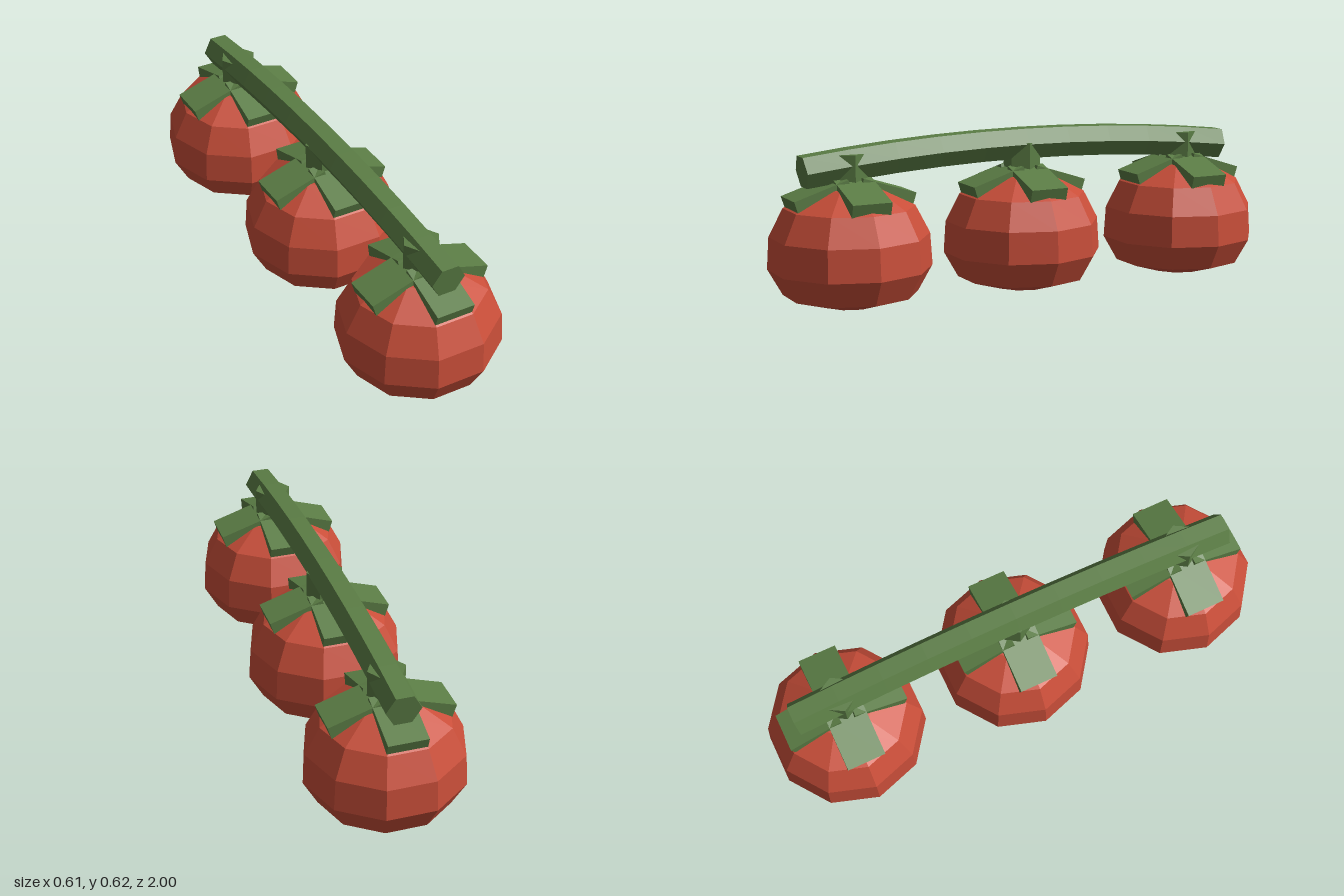
import * as THREE from 'three';

const red = new THREE.MeshStandardMaterial({ color: 0xc94e39 });
red.name = 'tomatoRed';
const green = new THREE.MeshStandardMaterial({ color: 0x5b7d45 });
green.name = 'vineGreen';

// Give every facet its own normal
function faceted(geometry) {
  const g = geometry.index ? geometry.toNonIndexed() : geometry;
  g.computeVertexNormals();
  return g;
}

function part(name, geometry, material) {
  const mesh = new THREE.Mesh(geometry, material);
  mesh.name = name;
  return mesh;
}

// Ten-sided fruit, with corners on the x axis
function fruitGeometry() {
  const profile = [
    [0, 0.002], [0.112, 0.002], [0.25, 0.043], [0.305, 0.141],
    [0.297, 0.262], [0.243, 0.367], [0.12, 0.44], [0, 0.465],
  ].map(([r, y]) => new THREE.Vector2(r, y));
  return faceted(new THREE.LatheGeometry(profile, 10).rotateY(Math.PI / 2));
}

// Flat leaf that slopes down and outwards along +x
function sepalGeometry() {
  const length = 0.217, thickness = 0.05;
  return new THREE.BoxGeometry(length, thickness, 0.15)
    .translate(length / 2, -thickness / 2, 0)
    .rotateZ(-0.308)
    .translate(0.03, 0.478, 0);
}

// Short six-sided stalk joining a fruit to the vine
function stalkGeometry() {
  const g = new THREE.CylinderGeometry(0.071, 0.071, 0.115, 6);
  return faceted(g.rotateY(Math.PI / 2).translate(0, 0.5075, 0));
}

// Six-sided vine, arched upwards along z
function vineGeometry() {
  const half = 0.89, rise = 0.054;
  const g = new THREE.CylinderGeometry(0.066, 0.066, half * 2, 6, 10);
  g.rotateY(Math.PI / 2).rotateX(Math.PI / 2);
  const p = g.attributes.position;
  for (let i = 0; i < p.count; i++) {
    const y = p.getY(i), z = p.getZ(i), t = z / half;
    p.setY(i, y + 0.56 - rise * t * t);
    p.setZ(i, z + y * 2 * rise / half * t);
  }
  return faceted(g);
}

export function createModel() {
  const model = new THREE.Group();
  model.name = 'tomatoesOnVine';
  model.add(part('vine', vineGeometry(), green));

  const fruit = fruitGeometry(), sepal = sepalGeometry(), stalk = stalkGeometry();
  for (const z of [-0.71, 0, 0.71]) {
    const tomato = new THREE.Group();
    tomato.name = 'tomato';
    tomato.position.z = z;
    tomato.add(part('fruit', fruit, red), part('stalk', stalk, green));
    for (let i = 0; i < 4; i++) {
      const leaf = part('sepal', sepal, green);
      leaf.rotation.y = i * Math.PI / 2;
      tomato.add(leaf);
    }
    model.add(tomato);
  }
  return model;
}
